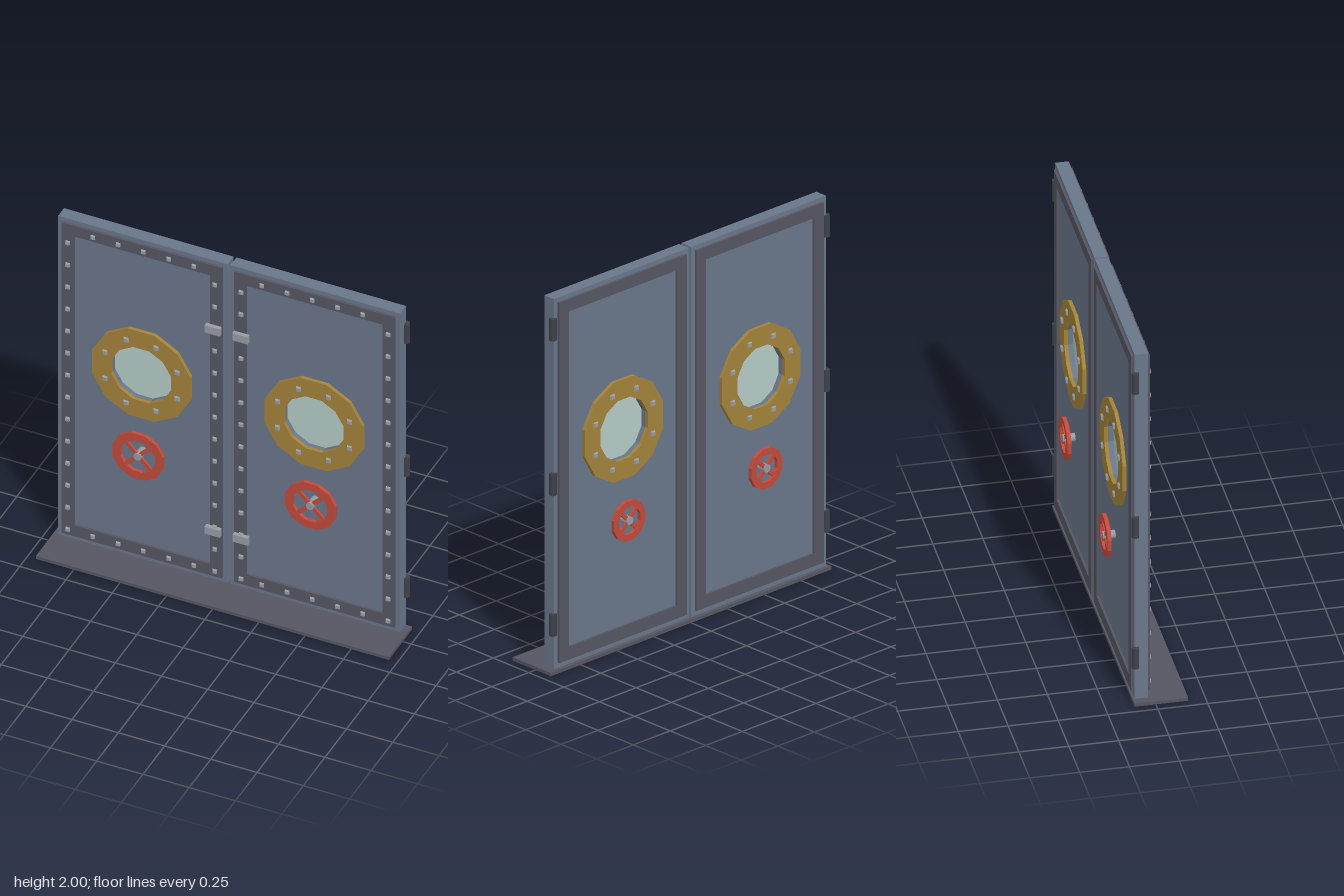
import * as THREE from 'three';

const paint = (name, color) => Object.assign(new THREE.MeshStandardMaterial({ color }), { name });
const SLATE = paint('slate door paint', 0x69768a);
const IRON = paint('dark iron', 0x565663);
const HINGE = paint('black hinge steel', 0x3f414b);
const BRASS = paint('brass', 0xa3823a);
const STEEL = paint('bare steel', 0x989ca3);
const RED = paint('red valve paint', 0xc24a3b);
const GLASS = paint('pale glass', 0xb5cbc6);

// Door layout, written for the +x door
const CX = 0.466, PORT_Y = 1.176, WHEEL_Y = 0.7;
const BODY_BACK = -0.1, BODY_FRONT = -0.032;

function add(parent, name, geometry, material, x = 0, y = 0, z = 0) {
  const mesh = new THREE.Mesh(geometry, material);
  mesh.name = name;
  mesh.position.set(x, y, z);
  parent.add(mesh);
  return mesh;
}

// Twelve-sided outline with flat sides on the axes
function dodecagon(apothem, x = 0, y = 0) {
  const r = apothem / Math.cos(Math.PI / 12);
  return Array.from({ length: 12 }, (_, i) => {
    const a = (i + 0.5) * Math.PI / 6;
    return new THREE.Vector2(x + r * Math.cos(a), y + r * Math.sin(a));
  });
}

function rectangle(x0, y0, x1, y1) {
  return [[x0, y0], [x1, y0], [x1, y1], [x0, y1]].map(([x, y]) => new THREE.Vector2(x, y));
}

// Flat plate with an optional hole, spanning z0 to z1
function plate(outline, hole, z0, z1) {
  const shape = new THREE.Shape(outline);
  if (hole) shape.holes.push(new THREE.Path(hole));
  return new THREE.ExtrudeGeometry(shape, { depth: z1 - z0, bevelEnabled: false }).translate(0, 0, z0);
}

// Square bolt head with tapered sides, pointing along +z or -z
function bolt(parent, x, y, z, size, height, dir = 1) {
  const g = new THREE.CylinderGeometry(size * 0.5, size * 0.707, height, 4).toNonIndexed();
  g.computeVertexNormals();
  g.rotateY(Math.PI / 4).rotateX(dir * Math.PI / 2);
  add(parent, 'bolt', g, STEEL, x, y, z + dir * height / 2);
}

// Valve wheel with crossed spokes, hub and stem; dir is the side of the door
function handwheel(parent, name, apothem, rim, z, dir) {
  const wheel = new THREE.Group();
  wheel.name = name;
  wheel.position.set(CX, WHEEL_Y, 0);
  parent.add(wheel);
  add(wheel, 'wheelRim', plate(dodecagon(apothem), dodecagon(apothem - rim), z - 0.01, z + 0.01), RED);
  for (const a of [Math.PI / 4, -Math.PI / 4]) {
    const spoke = add(wheel, 'wheelSpoke', new THREE.BoxGeometry((apothem - rim / 2) * 2, 0.02, 0.012), RED, 0, 0, z);
    spoke.rotation.z = a;
  }
  const start = dir > 0 ? BODY_FRONT : BODY_BACK;
  const end = z + dir * 0.014;
  const stem = new THREE.CylinderGeometry(0.022, 0.022, Math.abs(end - start), 8).rotateX(Math.PI / 2);
  add(wheel, 'wheelStem', stem, STEEL, 0, 0, (start + end) / 2);
}

function porthole(parent) {
  const port = new THREE.Group();
  port.name = 'porthole';
  port.position.set(CX, PORT_Y, 0);
  parent.add(port);
  add(port, 'frontPortholeRing', plate(dodecagon(0.266), dodecagon(0.161), BODY_FRONT, -0.012), BRASS);
  add(port, 'backPortholeRing', plate(dodecagon(0.266), dodecagon(0.161), -0.119, BODY_BACK), BRASS);
  add(port, 'glass', plate(dodecagon(0.164), null, -0.073, -0.059), GLASS);
  for (let i = 0; i < 8; i++) {
    const a = (i + 0.5) * Math.PI / 4;
    const x = 0.211 * Math.cos(a), y = 0.211 * Math.sin(a);
    bolt(port, x, y, -0.012, 0.028, 0.01);
    bolt(port, x, y, -0.119, 0.028, 0.01, -1);
  }
}

function door(name, side) {
  const group = new THREE.Group();
  group.name = name;

  // Slab with the window opening cut through, and a raised frame on each face
  const opening = dodecagon(0.163, CX, PORT_Y);
  add(group, 'doorSlab', plate(rectangle(0.008, 0.026, 0.924, 2), opening, BODY_BACK, BODY_FRONT), SLATE);
  const outer = rectangle(0.033, 0.054, 0.899, 1.976), inner = rectangle(0.098, 0.122, 0.834, 1.911);
  add(group, 'frontFrame', plate(outer, inner, BODY_FRONT, -0.019), IRON);
  add(group, 'backFrame', plate(outer, inner, -0.112, BODY_BACK), IRON);

  // Frame bolts
  for (let i = 0; i < 14; i++) {
    const y = 1.862 - i * 0.1365;
    for (const x of [0.071, 0.866]) bolt(group, x, y, -0.019, 0.024, 0.011);
  }
  for (let i = 1; i < 6; i++) {
    for (const y of [1.94, 0.087]) bolt(group, 0.866 - i * 0.1365, y, -0.019, 0.024, 0.011);
  }

  porthole(group);
  handwheel(group, 'frontHandwheel', 0.137, 0.044, 0.019, 1);
  handwheel(group, 'backHandwheel', 0.106, 0.034, -0.149, -1);

  // Latch plates on the meeting edge, hinge barrels on the outer edge
  for (const y of [1.59, 0.343]) add(group, 'latch', new THREE.BoxGeometry(0.082, 0.044, 0.024), STEEL, 0.075, y, -0.008);
  for (const y of [1.84, 1.015, 0.265]) {
    add(group, 'hinge', new THREE.CylinderGeometry(0.019, 0.019, 0.116, 8), HINGE, 0.928, y, -0.097);
  }

  // Mirror the far door by flipping geometry, keeping the winding outward
  if (side < 0) {
    group.traverse((o) => {
      o.position.x *= -1;
      o.rotation.z *= -1;
      if (!o.isMesh) return;
      const g = o.geometry.index ? o.geometry.toNonIndexed() : o.geometry;
      g.scale(-1, 1, 1);
      for (const key of ['position', 'normal']) {
        const at = g.attributes[key], a = new THREE.Vector3(), b = new THREE.Vector3();
        for (let i = 0; i < at.count; i += 3) {
          a.fromBufferAttribute(at, i + 1);
          b.fromBufferAttribute(at, i + 2);
          at.setXYZ(i + 1, b.x, b.y, b.z);
          at.setXYZ(i + 2, a.x, a.y, a.z);
        }
      }
      o.geometry = g;
    });
  }
  return group;
}

export function createModel() {
  const model = new THREE.Group();
  model.name = 'doubleBulkheadDoor';
  model.add(door('leftDoor', 1), door('rightDoor', -1));
  add(model, 'threshold', new THREE.BoxGeometry(1.908, 0.018, 0.27), IRON, 0, 0.009, 0.027);
  return model;
}
